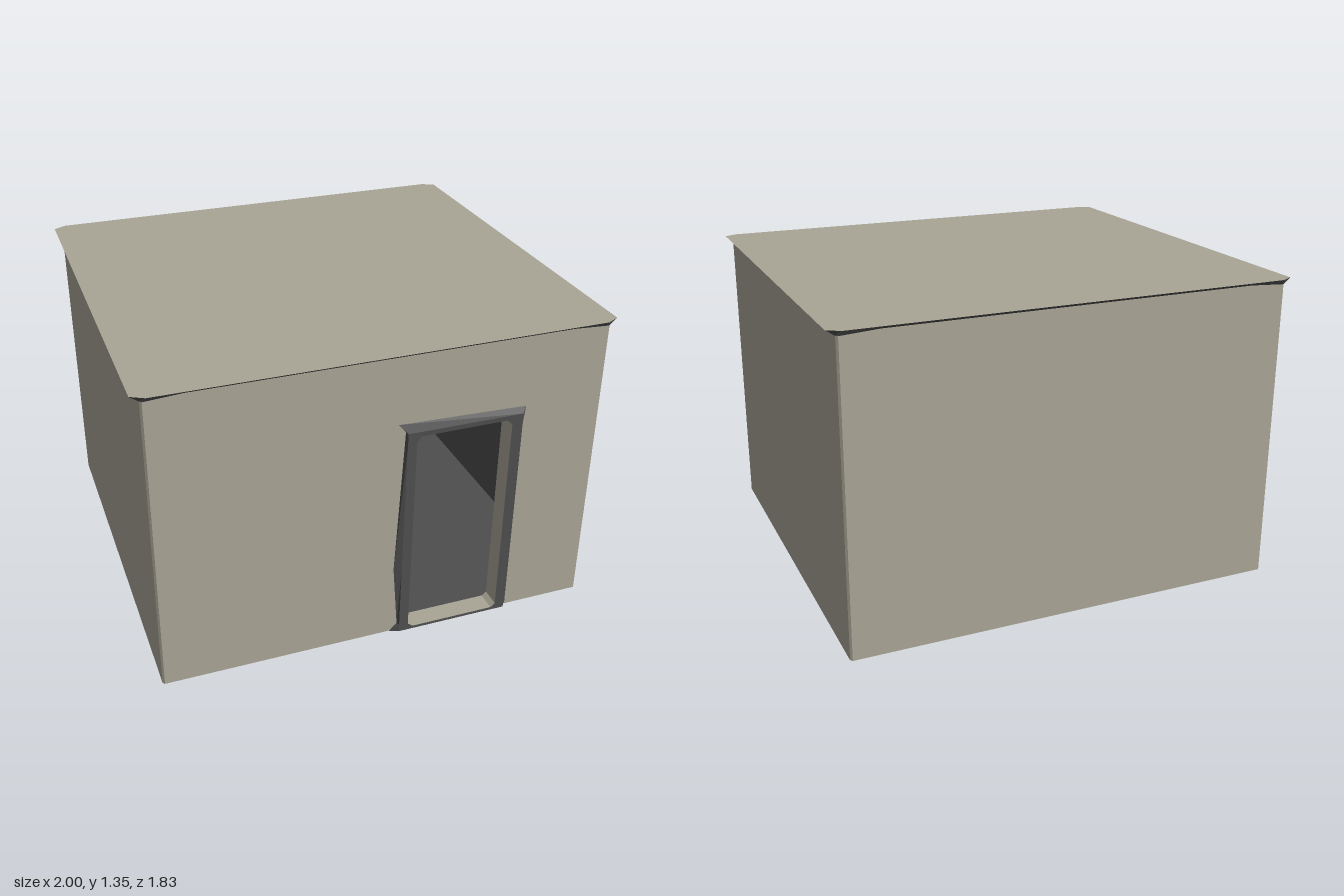
import * as THREE from 'three';

const mat = (color) => new THREE.MeshStandardMaterial({ color, flatShading: true, side: THREE.DoubleSide, roughness: 0.9 });

// Joins a list of equal-length point loops with quads
function loft(loops, closed = true) {
  const n = loops[0].length;
  const index = [];
  for (let i = 0; i + 1 < loops.length; i++) {
    for (let j = 0; j < (closed ? n : n - 1); j++) {
      const a = i * n + j, b = i * n + (j + 1) % n;
      index.push(a, b, b + n, a, b + n, a + n);
    }
  }
  const g = new THREE.BufferGeometry();
  g.setAttribute('position', new THREE.Float32BufferAttribute(loops.flat(2), 3));
  g.setIndex(index);
  g.computeVertexNormals();
  return g;
}

// Flat panel in the xy plane with an optional hole
function panel(points, hole) {
  const v = (p) => p.map(([x, y]) => new THREE.Vector2(x, y));
  const s = new THREE.Shape(v(points));
  if (hole) s.holes.push(new THREE.Path(v(hole)));
  return new THREE.ShapeGeometry(s);
}

const rect = (x0, x1, y0, y1) => [[x0, y0], [x1, y0], [x1, y1], [x0, y1]];
const atZ = (loop, z) => loop.map(([x, y]) => [x, y, z]);

export function createModel() {
  const group = new THREE.Group();
  const plaster = mat(0xa9a596);
  const dark = mat(0x4e4e4e);
  const add = (name, geometry, material) => {
    const m = new THREE.Mesh(geometry, material);
    m.name = name;
    group.add(m);
    return m;
  };

  // Matching outlines of the walls and roof, four points per corner
  const foot = [], wallTop = [], roofEdge = [];
  for (const [sx, sz] of [[1, 1], [1, -1], [-1, -1], [-1, 1]]) {
    const pts = [
      // wall x, wall z, wall top, roof x, roof z
      [0.965, 0.78, 1.346, 1, 0.78],
      [0.965, 0.89, 1.328, 1, 0.885],
      [0.957, 0.9, 1.328, 0.945, 0.915],
      [0.8, 0.9, 1.338, 0.8, 0.915],
    ];
    if (sx * sz > 0) pts.reverse();
    for (const [x, z, y, rx, rz] of pts) {
      foot.push([sx * x, 0, sz * z]);
      wallTop.push([sx * x, y, sz * z]);
      roofEdge.push([sx * rx, 1.35, sz * rz]);
    }
  }
  add('outerWalls', loft([foot, wallTop], false), plaster);
  add('eaves', loft([wallTop, roofEdge]), dark);

  // Horizontal slabs
  const slab = (loop) => panel(loop.map(([x, , z]) => [x, -z])).rotateX(-Math.PI / 2);
  add('roof', slab(roofEdge), plaster).position.y = 1.35;
  add('base', slab(foot), dark);

  // Door opening with clipped corners
  const opening = [
    [0.145, 0.012], [0.122, 0.03], [0.122, 0.33], [0.122, 0.95], [0.14, 0.978],
    [0.52, 0.978], [0.545, 0.955], [0.545, 0.33], [0.545, 0.03], [0.525, 0.012],
  ];
  add('frontWall', panel(rect(-0.8, 0.8, 0, 1.338), opening), plaster).position.z = 0.9;
  add('doorReveal', loft([atZ(opening, 0.917), atZ(opening, 0.83)]), plaster);

  // Raised door frame with a bevelled, uneven outer edge
  const frameOuter = [
    [0.04, 0], [0.075, 0.035], [0.05, 0.33], [0.078, 1.0], [0.045, 1.04],
    [0.61, 1.022], [0.6, 0.95], [0.6, 0.33], [0.6, 0.03], [0.595, 0],
  ];
  const frameRim = [
    [0.08, 0], [0.08, 0.035], [0.08, 0.33], [0.082, 0.95], [0.082, 1.0],
    [0.59, 0.998], [0.592, 0.95], [0.592, 0.33], [0.592, 0.03], [0.585, 0],
  ];
  add('doorFrame', loft([atZ(frameOuter, 0.901), atZ(frameRim, 0.918), atZ(opening, 0.917)]), dark);

  // Room behind the door
  const room = rect(-0.43, 0.93, 0.01, 1.32);
  add('roomSides', loft([atZ(room, 0.83), atZ(room, -0.86)]), dark);
  add('roomFrontWall', panel(room, opening), dark).position.z = 0.83;
  add('roomBackWall', panel(room), dark).position.z = -0.86;

  return group;
}
